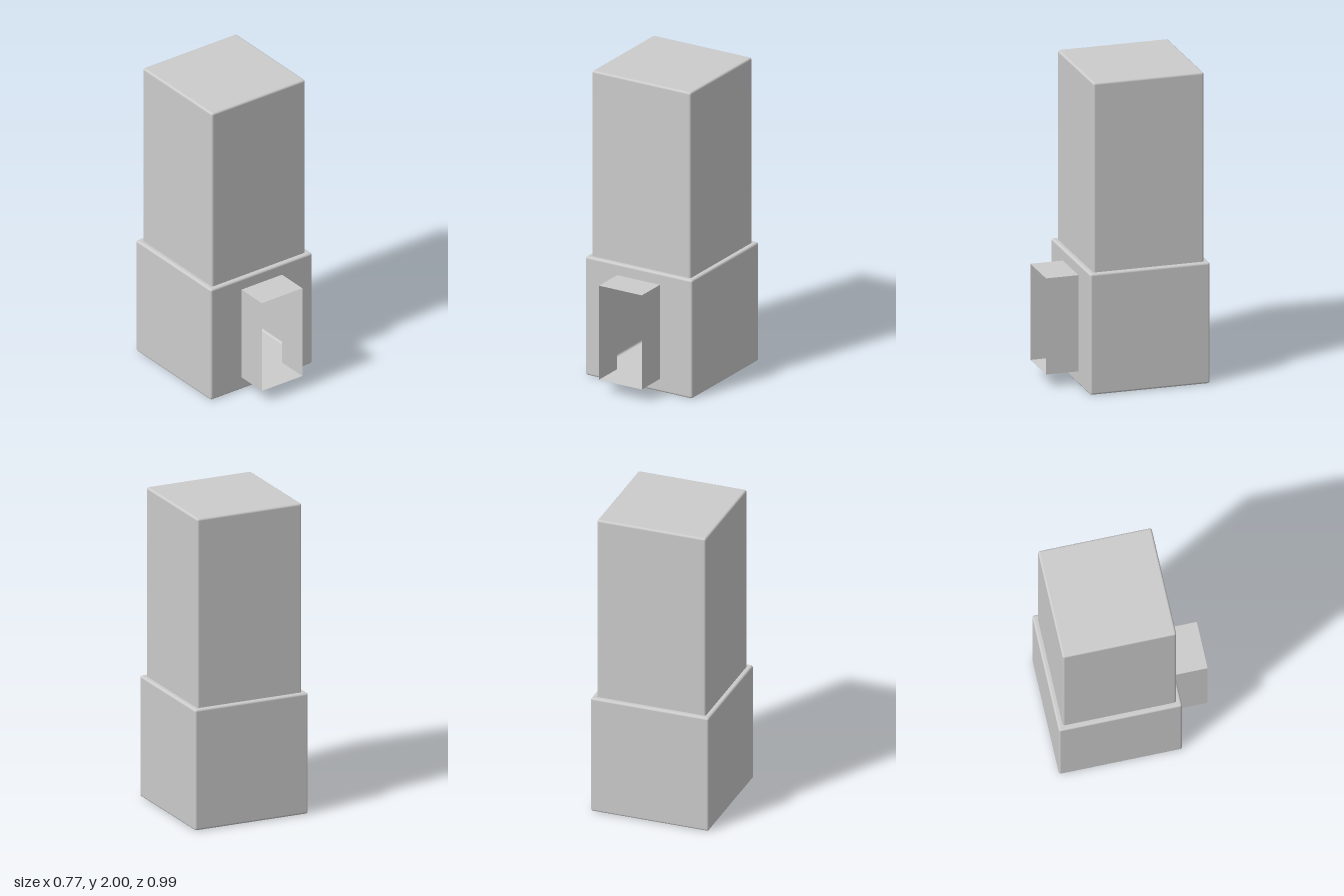
import * as THREE from 'three';
import { RoundedBoxGeometry } from 'three/addons/geometries/RoundedBoxGeometry.js';

const BEVEL = 0.014;
const CENTER_Z = -0.1025;
const BODY = 0.775, BODY_H = 0.78;
const TOWER = 0.715;
const SPOUT = { w: 0.31, h: 0.62, y: 0.395, front: 0.495 };

// Removes every triangle whose three corners all satisfy the test
function openUp(geometry, test) {
  const geo = geometry.index ? geometry.toNonIndexed() : geometry;
  const p = geo.attributes.position, n = geo.attributes.normal;
  const pos = [], nor = [];
  for (let i = 0; i < p.count; i += 3) {
    const corners = [i, i + 1, i + 2];
    if (corners.every(c => test(p.getX(c), p.getY(c), p.getZ(c)))) continue;
    for (const c of corners) {
      pos.push(p.getX(c), p.getY(c), p.getZ(c));
      nor.push(n.getX(c), n.getY(c), n.getZ(c));
    }
  }
  const out = new THREE.BufferGeometry();
  out.setAttribute('position', new THREE.Float32BufferAttribute(pos, 3));
  out.setAttribute('normal', new THREE.Float32BufferAttribute(nor, 3));
  return out;
}

function rectangle(target, w, h, cy = 0) {
  target.moveTo(-w / 2, cy - h / 2);
  target.lineTo(w / 2, cy - h / 2);
  target.lineTo(w / 2, cy + h / 2);
  target.lineTo(-w / 2, cy + h / 2);
  target.closePath();
  return target;
}

// Flat panel with a rectangular opening
function panel(w, h, holeW, holeH, holeY = 0) {
  const shape = rectangle(new THREE.Shape(), w, h);
  shape.holes.push(rectangle(new THREE.Path(), holeW, holeH, holeY));
  return new THREE.ShapeGeometry(shape);
}

export function createModel() {
  const model = new THREE.Group();
  model.name = 'towerWithSpout';
  const material = new THREE.MeshStandardMaterial({ color: 0xcccccc, side: THREE.DoubleSide });
  const add = (name, geometry, y, z) => {
    const mesh = new THREE.Mesh(geometry, material);
    mesh.name = name;
    mesh.position.set(0, y, z);
    model.add(mesh);
    return mesh;
  };
  const eps = 1e-4;
  const flat = BODY - 2 * BEVEL, flatH = BODY_H - 2 * BEVEL;
  const bodyFront = CENTER_Z + BODY / 2;

  // Hollow base, with its flat front and top replaced by panels with openings
  const base = openUp(new RoundedBoxGeometry(BODY, BODY_H, BODY, 3, BEVEL),
    (x, y, z) => z > BODY / 2 - eps || y > BODY_H / 2 - eps);
  add('base', base, BODY_H / 2, CENTER_Z);
  add('baseFront', panel(flat, flatH, SPOUT.w, SPOUT.h, SPOUT.y - BODY_H / 2), BODY_H / 2, bodyFront);
  add('baseLedge', panel(flat, flat, TOWER - 0.005, TOWER - 0.005), BODY_H, CENTER_Z)
    .rotation.x = -Math.PI / 2;

  // Upper tower, open underneath with a square-cut lower edge
  const towerH = 2 - BODY_H + BEVEL;
  const tower = openUp(new RoundedBoxGeometry(TOWER, towerH, TOWER, 3, BEVEL),
    (x, y) => y < -towerH / 2 + BEVEL + eps);
  add('tower', tower, 2 - towerH / 2, CENTER_Z);

  // Thin-walled spout, open at both ends
  const depth = SPOUT.front - bodyFront;
  const spout = openUp(new THREE.BoxGeometry(SPOUT.w, SPOUT.h, depth), 
    // end caps are the triangles lying wholly at one end
    (() => {
      const ends = [];
      return (x, y, z) => z > depth / 2 - eps;
    })());
  add('spout', openUp(spout, (x, y, z) => z < -depth / 2 + eps), SPOUT.y, bodyFront + depth / 2);

  return model;
}
